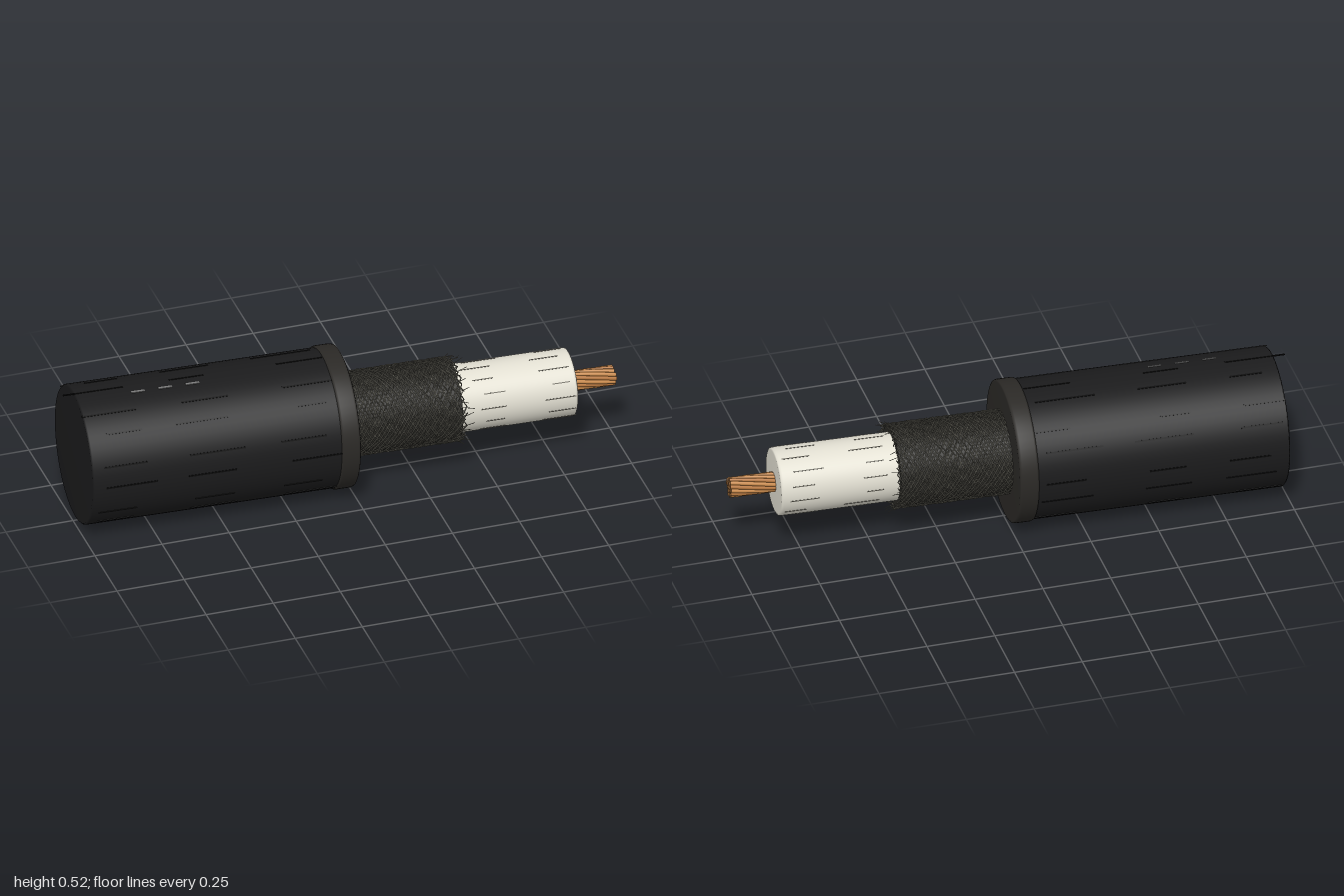
import * as THREE from 'three';
import { mergeGeometries } from 'three/addons/utils/BufferGeometryUtils.js';

// Curve winding round the x axis; fn(t) returns [along, radius, angle]
class AxialCurve extends THREE.Curve {
  constructor(fn) { super(); this.fn = fn; }
  getPoint(t, target = new THREE.Vector3()) {
    const [s, r, a] = this.fn(t);
    return target.set(s, r * Math.cos(a), r * Math.sin(a));
  }
}

export function createModel() {
  const cable = new THREE.Group();
  cable.name = 'strippedCable';
  let seed = 7;
  const rand = () => (seed = (seed * 16807) % 2147483647) / 2147483647;
  const mat = (color, side = THREE.FrontSide) => new THREE.MeshStandardMaterial({ color, side });
  const add = (name, geometry, material) => {
    const mesh = new THREE.Mesh(geometry, material);
    mesh.name = name;
    cable.add(mesh);
  };

  // Solid of revolution along x, from [along, radius] pairs
  const turned = (profile) => new THREE.LatheGeometry(
    profile.map(([s, r]) => new THREE.Vector2(r, s)), 64).rotateZ(-Math.PI / 2);

  // Thin bar lying on the cylinder surface, running along x
  const bar = (s, r, a, length, width) =>
    new THREE.BoxGeometry(length, 0.003, width).translate(0, r, 0).rotateX(a).translate(s, 0, 0);

  // Outer jacket and the collar at its cut end
  add('jacket', turned([[-0.99, 0], [-0.99, 0.246], [-0.984, 0.252], [-0.03, 0.252]]), mat(0x1b1b1c));
  add('jacketCollar', turned([[-0.075, 0.25], [-0.072, 0.256], [-0.066, 0.258],
    [-0.014, 0.258], [-0.007, 0.256], [-0.004, 0.25], [-0.004, 0.1]]), mat(0x2b2926));

  // Moulding streaks along the jacket
  const streaks = [];
  for (let i = 0; i < 16; i++) {
    for (const s of [-0.88, -0.56, -0.18]) {
      streaks.push(bar(s + (rand() - 0.5) * 0.08, 0.252, i * Math.PI / 8 + Math.PI / 16 * (i % 2) * 0.4,
        0.1 + rand() * 0.13, 0.006));
    }
  }
  add('jacketStreaks', mergeGeometries(streaks), mat(0x0b0b0b));

  // Three pale print dashes on top of the jacket
  add('printDashes', mergeGeometries([-0.765, -0.665, -0.565].map(
    (s) => bar(s, 0.2525, 0.16, 0.05, 0.009))), mat(0x777777));

  // Dark layer beneath the braid
  add('shieldBase', turned([[-0.01, 0.147], [0.4, 0.147], [0.402, 0.145], [0.402, 0.11]]), mat(0x2a2925));

  // Braid: wires wound both ways, weaving over and under each other
  const wires = [];
  const count = 36;
  for (const dir of [1, -1]) {
    for (let i = 0; i < count; i++) {
      const end = 0.405 + rand() * 0.012;
      const curve = new AxialCurve((t) => [
        -0.01 + t * (end + 0.01),
        0.150 + dir * 0.0025 * Math.sin(t * Math.PI * 18 + i * Math.PI),
        i / count * Math.PI * 2 + dir * t * Math.PI * 1.5,
      ]);
      wires.push(new THREE.TubeGeometry(curve, 54, 0.0024, 4));
    }
  }
  add('braidWires', mergeGeometries(wires), mat(0x68665c, THREE.DoubleSide));

  // Frayed wire ends at the cut of the braid
  const frays = [];
  for (let i = 0; i < 44; i++) {
    const a = (i + rand() * 0.8) / 44 * Math.PI * 2;
    const length = 0.015 + rand() * 0.04;
    const flare = rand() * 0.014;
    const sweep = (rand() - 0.5) * 0.3;
    const curve = new AxialCurve((t) => [0.39 + t * length, 0.151 + flare * t * t, a + sweep * t]);
    frays.push(new THREE.TubeGeometry(curve, 5, 0.0013, 4));
  }
  add('frayedWires', mergeGeometries(frays), mat(0x6e6b60, THREE.DoubleSide));

  // Pale insulation core
  add('insulation', turned([[0.3, 0.123], [0.823, 0.123], [0.83, 0.121], [0.833, 0.115], [0.833, 0]]),
    mat(0xe2dfd2));

  // Scratches along the insulation
  const scratches = [];
  for (let i = 0; i < 14; i++) {
    for (const s of [0.51, 0.75]) {
      scratches.push(bar(s + (rand() - 0.5) * 0.06, 0.1225, (i + 0.25) / 14 * Math.PI * 2,
        0.06 + rand() * 0.08, 0.0035));
    }
  }
  add('insulationScratches', mergeGeometries(scratches), mat(0x6d6a60));

  // Twisted copper conductor: one centre strand and two rings
  const tones = [[], []];
  for (const [n, r] of [[1, 0], [6, 0.0147], [13, 0.0294]]) {
    for (let i = 0; i < n; i++) {
      const end = 0.994 + rand() * 0.005;
      const a0 = i / n * Math.PI * 2;
      const curve = new AxialCurve((t) => [0.82 + t * (end - 0.82), r, a0 + t * 1.0]);
      const tip = curve.getPoint(1);
      tones[i % 2].push(
        new THREE.TubeGeometry(curve, 12, 0.0076, 8),
        new THREE.CircleGeometry(0.0076, 8).rotateY(Math.PI / 2).translate(tip.x, tip.y, tip.z));
    }
  }
  add('copperStrands', mergeGeometries(tones[0]), mat(0xc98a4b));
  add('copperStrandsDark', mergeGeometries(tones[1]), mat(0xb5763c));

  // The cable lies slightly turned about the vertical
  cable.rotation.y = -0.043;
  cable.position.set(0, 0.26, 0.018);
  const model = new THREE.Group();
  model.name = 'cableModel';
  model.add(cable);
  return model;
}
